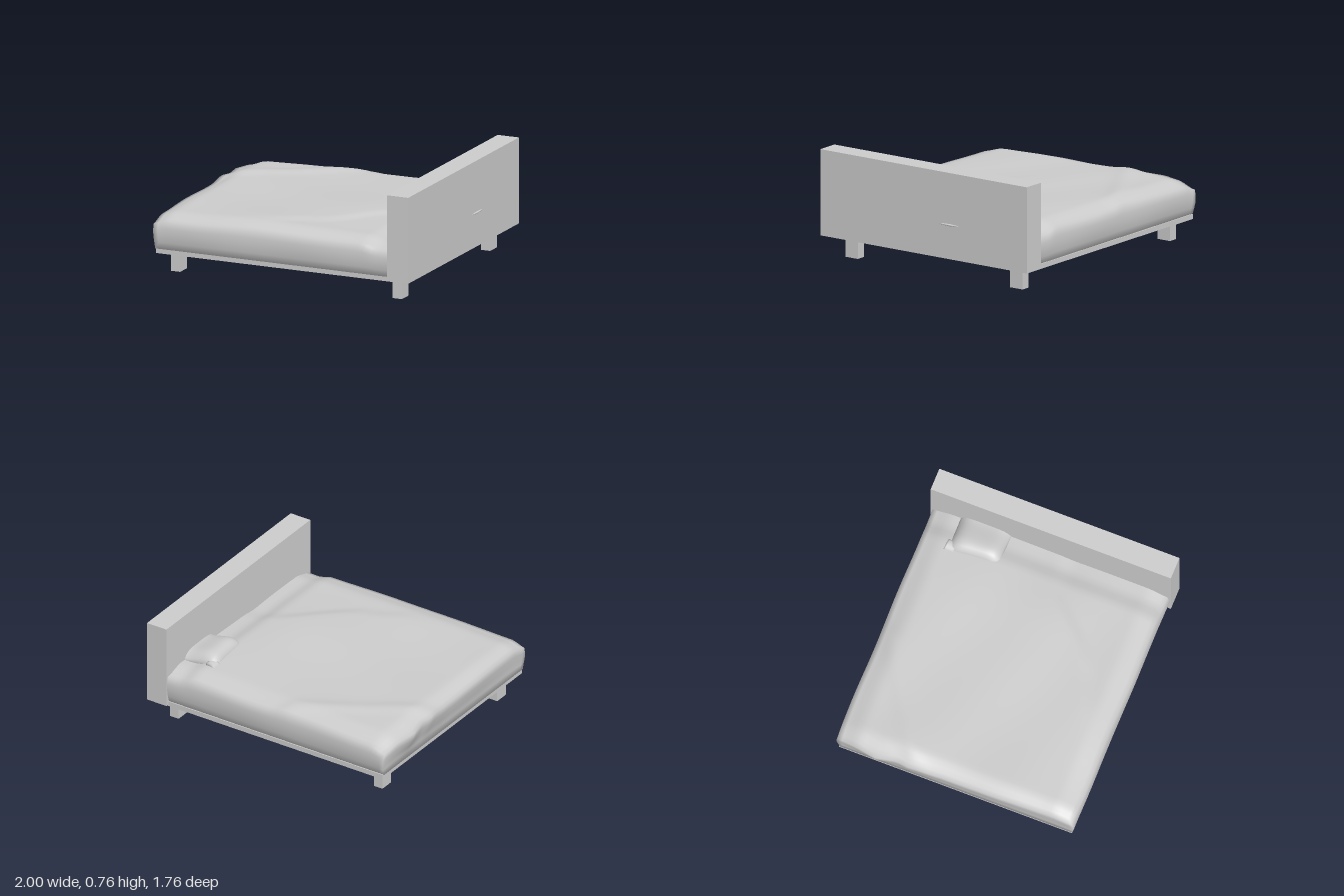
import * as THREE from 'three';
import { mergeVertices } from 'three/addons/utils/BufferGeometryUtils.js';

const grey = new THREE.MeshStandardMaterial({ color: 0xcccccc });
grey.name = 'plain grey';

const smooth = THREE.MathUtils.smoothstep;
const bump = (x, z, cx, cz, rx, rz) => Math.exp(-(((x - cx) / rx) ** 2) - ((z - cz) / rz) ** 2);

// Box given by its limits on each axis
function block(name, x0, x1, y0, y1, z0, z1) {
  const mesh = new THREE.Mesh(new THREE.BoxGeometry(x1 - x0, y1 - y0, z1 - z0), grey);
  mesh.position.set((x0 + x1) / 2, (y0 + y1) / 2, (z0 + z1) / 2);
  mesh.name = name;
  return mesh;
}

// Seamless box whose vertices (u, v from -1 to 1, t from 0 to 1 upwards) are moved by a rule
function softBox(name, nx, ny, nz, rule) {
  let geo = new THREE.BoxGeometry(2, 1, 2, nx, ny, nz);
  geo.deleteAttribute('normal');
  geo.deleteAttribute('uv');
  geo = mergeVertices(geo, 1e-4);
  const p = geo.attributes.position;
  for (let i = 0; i < p.count; i++) {
    p.setXYZ(i, ...rule(p.getX(i), p.getY(i) + 0.5, p.getZ(i)));
  }
  geo.computeVertexNormals();
  const mesh = new THREE.Mesh(geo, grey);
  mesh.name = name;
  return mesh;
}

// Height of the rumpled cover
function coverHeight(x, z) {
  let h = 0.422 + 0.018 * smooth(x, -0.9, 0.5);
  // broad step where the cover is folded back, running diagonally to the head
  const line = 0.62 - 0.12 * smooth(x, -0.2, 0.15) - 0.42 * smooth(x, 0.1, 0.68);
  h -= 0.014 * smooth(z, line - 0.03, line + 0.12) * smooth(x, -0.5, 0.1);
  h -= 0.03 * smooth(x, 0.62, 0.75);
  // diagonal fold at the back
  const fold = z + 0.66 + 0.6 * (x + 0.35);
  h += 0.012 * Math.exp(-((fold / 0.08) ** 2)) * smooth(-x, 0, 0.15);
  // soft wrinkles
  h += 0.004 * Math.sin(5 * x + 3 * z) + 0.003 * Math.sin(9 * z - 4 * x + 1);
  h += 0.008 * bump(x, z, 0.45, 0.05, 0.25, 0.3) + 0.01 * bump(x, z, -0.85, -0.5, 0.2, 0.2);
  // droop at the open edges
  h -= 0.042 * smooth(Math.abs(z), 0.7, 0.88) + 0.035 * smooth(-x, 0.84, 0.97);
  return h;
}

function makeBedding() {
  // overhang of the cover beyond the foot, as z, x pairs
  const footEdge = [[-0.9, -0.94], [-0.75, -0.965], [-0.57, -1], [-0.42, -0.97], [-0.34, -0.985],
    [-0.1, -0.968], [0.3, -0.965], [0.6, -0.953], [0.9, -0.945]];
  const footX = (z) => {
    const k = Math.max(0, footEdge.findIndex((e) => e[0] > z) - 1);
    const [a, b] = [footEdge[k], footEdge[k + 1]];
    return THREE.MathUtils.lerp(a[1], b[1], (z - a[0]) / (b[0] - a[0]));
  };
  return softBox('mattressAndCover', 56, 4, 52, (u, t, v) => {
    const bulge = Math.sin(Math.PI * Math.min(1, t * 0.85));
    const z = v * (0.85 + 0.022 * bulge + 0.004 * t * Math.sin(7 * u)) - 0.005 * t;
    const foot = THREE.MathUtils.lerp(-0.935, footX(z), smooth(t, 0.1, 0.95));
    const x = THREE.MathUtils.lerp(foot, 0.9, (u + 1) / 2);
    return [x, 0.175 + t * (coverHeight(x, z) - 0.175), z];
  });
}

function makePillow() {
  const pillow = new THREE.Group();
  pillow.name = 'pillow';
  // plump body, pinched slightly between the corners
  pillow.add(softBox('pillowBody', 16, 4, 16, (u, t, v) => {
    const side = 1 - 0.06 * (1 - Math.abs(2 * t - 1));
    const x = 0.725 + u * (0.137 - 0.006 * (1 - v * v)) / side + 0.012 * v * (u < 0 ? 1 : 0);
    const z = -0.475 + v * (0.178 - 0.006 * (1 - u * u)) / side;
    const dome = 0.497 - 0.04 * (Math.abs(v) ** 5) - 0.04 * Math.max(0, -u) ** 5 - 0.03 * smooth(x, 0.66, 0.84);
    return [x, 0.39 + t * (dome - 0.39), z];
  }));
  // loose cloth corner
  pillow.add(softBox('pillowFlap', 6, 2, 6, (u, t, v) => [
    0.605 + u * 0.038, 0.425 + t * (0.035 - 0.012 * u * u) + 0.008 * u, -0.645 + v * 0.035 + 0.006 * u,
  ]));
  return pillow;
}

export function createModel() {
  const bed = new THREE.Group();
  bed.name = 'bed';

  bed.add(block('headboard', 0.83, 0.99, 0.153, 0.76, -0.882, 0.88));
  bed.add(block('bedBase', -0.93, 0.95, 0.143, 0.178, -0.858, 0.85));

  // four short legs
  for (const x of [-0.83, 0.845]) {
    for (const z of [-0.71, 0.695]) {
      bed.add(block('leg', x - 0.035, x + 0.035, 0, 0.145, z - 0.053, z + 0.053));
    }
  }

  bed.add(makeBedding(), makePillow());

  // edge of the cover showing through the headboard
  const tuck = new THREE.Mesh(new THREE.SphereGeometry(1, 16, 8), grey);
  tuck.scale.set(0.04, 0.012, 0.135);
  tuck.position.set(0.96, 0.393, -0.22);
  tuck.name = 'coverTuck';
  bed.add(tuck);

  return bed;
}
